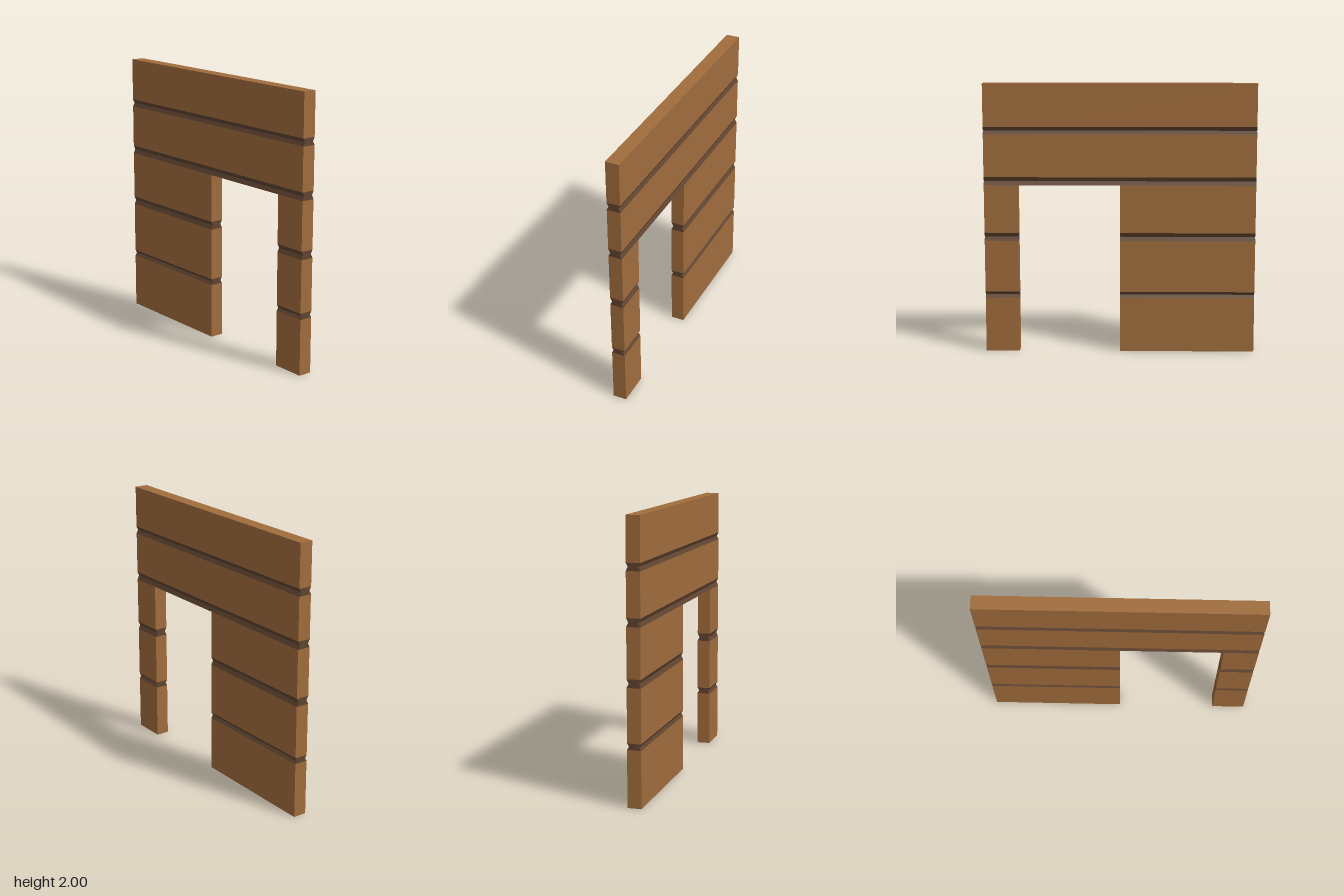
import * as THREE from 'three';

const wood = new THREE.MeshStandardMaterial({ color: 0xa06c3c });
wood.name = 'wood';
const darkWood = new THREE.MeshStandardMaterial({ color: 0x604430 });
darkWood.name = 'dark groove wood';

const HALF = 0.05;          // half the wall thickness
const PINCH = 0.036;        // half thickness at the bottom of a groove
const DOOR = [0, 0.75];     // door opening in x
const HEAD = 1.255;         // door opening height

export function createModel() {
  const wall = new THREE.Group();
  wall.name = 'plankWallWithDoorway';

  function plank(x0, x1, y0, y1) {
    const mesh = new THREE.Mesh(new THREE.BoxGeometry(x1 - x0, y1 - y0, HALF * 2), wood);
    mesh.position.set((x0 + x1) / 2, (y0 + y1) / 2, 0);
    mesh.name = 'plank';
    wall.add(mesh);
  }

  // Hourglass section run along x, making a V groove on both faces
  function groove(x0, x1, y0, y1) {
    const mid = (y0 + y1) / 2;
    const section = new THREE.Shape([
      [-HALF, y0], [HALF, y0], [PINCH, mid], [HALF, y1], [-HALF, y1], [-PINCH, mid],
    ].map(([z, y]) => new THREE.Vector2(z, y)));
    const geometry = new THREE.ExtrudeGeometry(section, { depth: x1 - x0, bevelEnabled: false });
    geometry.rotateY(Math.PI / 2);
    const mesh = new THREE.Mesh(geometry, darkWood);
    mesh.position.x = x0;
    mesh.name = 'groove';
    wall.add(mesh);
  }

  const grooves = [[0.41, 0.455], [0.84, 0.9], [HEAD, 1.315], [1.63, 1.685]];

  // Rows beside the doorway are split in two, rows above run the full width
  const spans = (y) => (y < HEAD ? [[-1, DOOR[0]], [DOOR[1], 1]] : [[-1, 1]]);

  let bottom = 0;
  for (const [y0, y1] of [...grooves, [2, 2]]) {
    for (const [x0, x1] of spans(bottom)) plank(x0, x1, bottom, y0);
    if (y1 > y0) for (const [x0, x1] of spans(y0)) groove(x0, x1, y0, y1);
    bottom = y1;
  }

  // Wooden underside of the door head
  const soffit = new THREE.Mesh(new THREE.PlaneGeometry(DOOR[1] - DOOR[0], HALF * 2), wood);
  soffit.rotation.x = Math.PI / 2;
  soffit.position.set((DOOR[0] + DOOR[1]) / 2, HEAD - 0.001, 0);
  soffit.name = 'doorHeadUnderside';
  wall.add(soffit);

  return wall;
}
